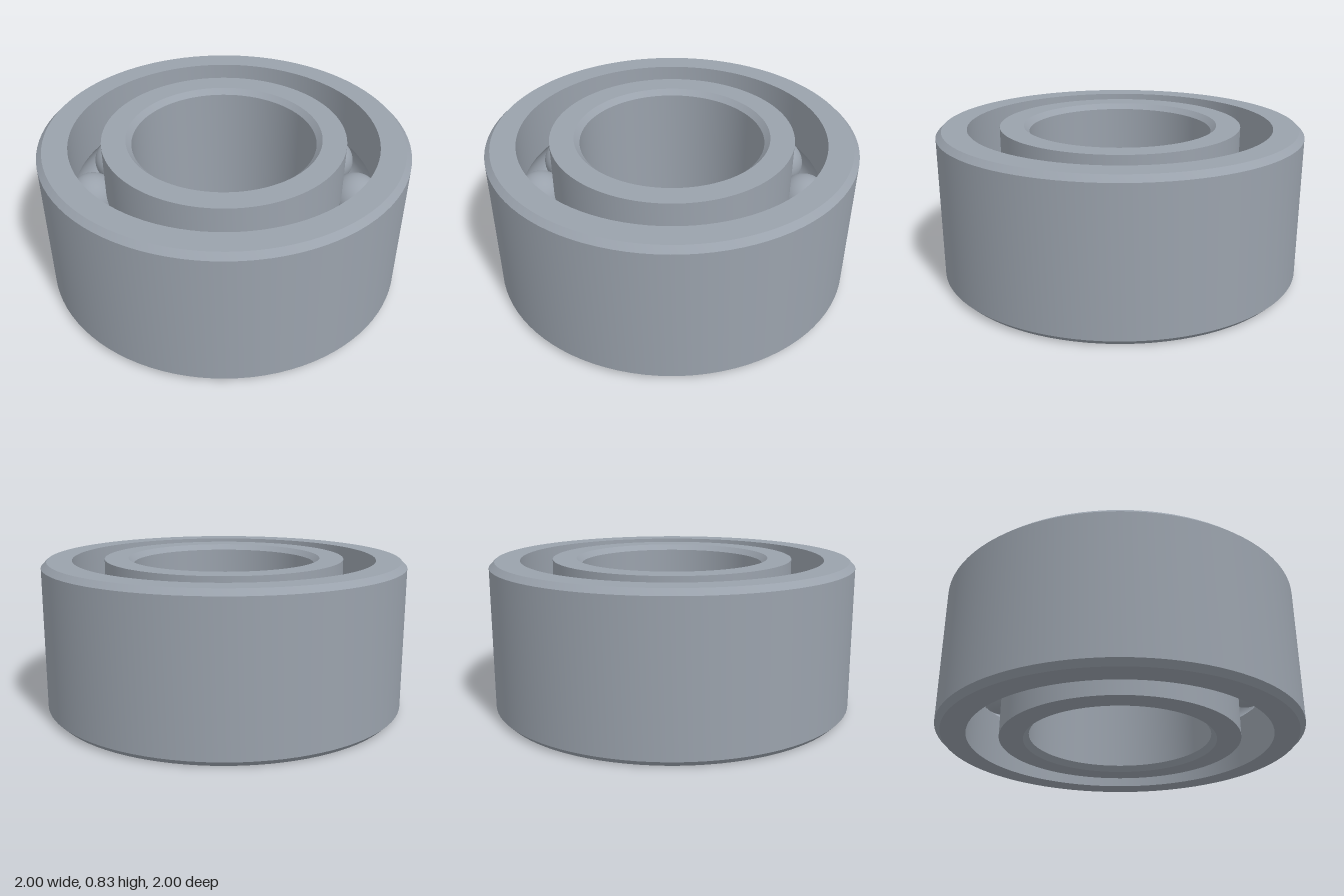
import * as THREE from 'three';
import { toCreasedNormals } from 'three/addons/utils/BufferGeometryUtils.js';

const HEIGHT = 0.83, MID = HEIGHT / 2, CHAMFER = 0.03;
const OUTER_R = 1, OUTER_INNER_R = 0.835, INNER_OUTER_R = 0.66, BORE_R = 0.5;
const PITCH_R = 0.748, BALL_R = 0.139, BALLS = 12;

// Raceway groove: arc around the ball centre where it cuts a wall of radius wallR
function groove(wallR, side) {
  const half = Math.acos(Math.abs(wallR - PITCH_R) / BALL_R);
  const points = [];
  for (let i = 0; i <= 16; i++) {
    const a = side * half * (i / 8 - 1);
    points.push([PITCH_R + side * BALL_R * Math.cos(a), MID + BALL_R * Math.sin(a)]);
  }
  return points;
}

// Closed ring profile, counter-clockwise in (radius, height)
function ring(name, profile, material) {
  const points = [...profile, profile[0]].map(([r, y]) => new THREE.Vector2(r, y));
  const geometry = toCreasedNormals(new THREE.LatheGeometry(points, 96), Math.PI / 6);
  const mesh = new THREE.Mesh(geometry, material);
  mesh.name = name;
  return mesh;
}

export function createModel() {
  const steel = new THREE.MeshStandardMaterial({ color: 0x9aa2ac });
  steel.name = 'steel grey';
  const model = new THREE.Group();
  model.name = 'ballBearing';

  // Outer ring: chamfered outside, grooved inside
  model.add(ring('outerRing', [
    [OUTER_INNER_R, 0], [OUTER_R - CHAMFER, 0], [OUTER_R, CHAMFER],
    [OUTER_R, HEIGHT - CHAMFER], [OUTER_R - CHAMFER, HEIGHT], [OUTER_INNER_R, HEIGHT],
    ...groove(OUTER_INNER_R, 1).reverse(),
  ], steel));

  // Inner ring: grooved outside, chamfered bore
  model.add(ring('innerRing', [
    [BORE_R + CHAMFER, 0], [INNER_OUTER_R, 0],
    ...groove(INNER_OUTER_R, -1).reverse(),
    [INNER_OUTER_R, HEIGHT], [BORE_R + CHAMFER, HEIGHT],
    [BORE_R, HEIGHT - CHAMFER], [BORE_R, CHAMFER],
  ], steel));

  // Balls evenly spaced in the raceway
  const balls = new THREE.Group();
  balls.name = 'balls';
  const ballGeometry = new THREE.SphereGeometry(BALL_R, 32, 20);
  for (let i = 0; i < BALLS; i++) {
    const angle = THREE.MathUtils.degToRad(12 + (i * 360) / BALLS);
    const ball = new THREE.Mesh(ballGeometry, steel);
    ball.name = 'ball';
    ball.position.set(PITCH_R * Math.cos(angle), MID, PITCH_R * Math.sin(angle));
    balls.add(ball);
  }
  model.add(balls);
  return model;
}
